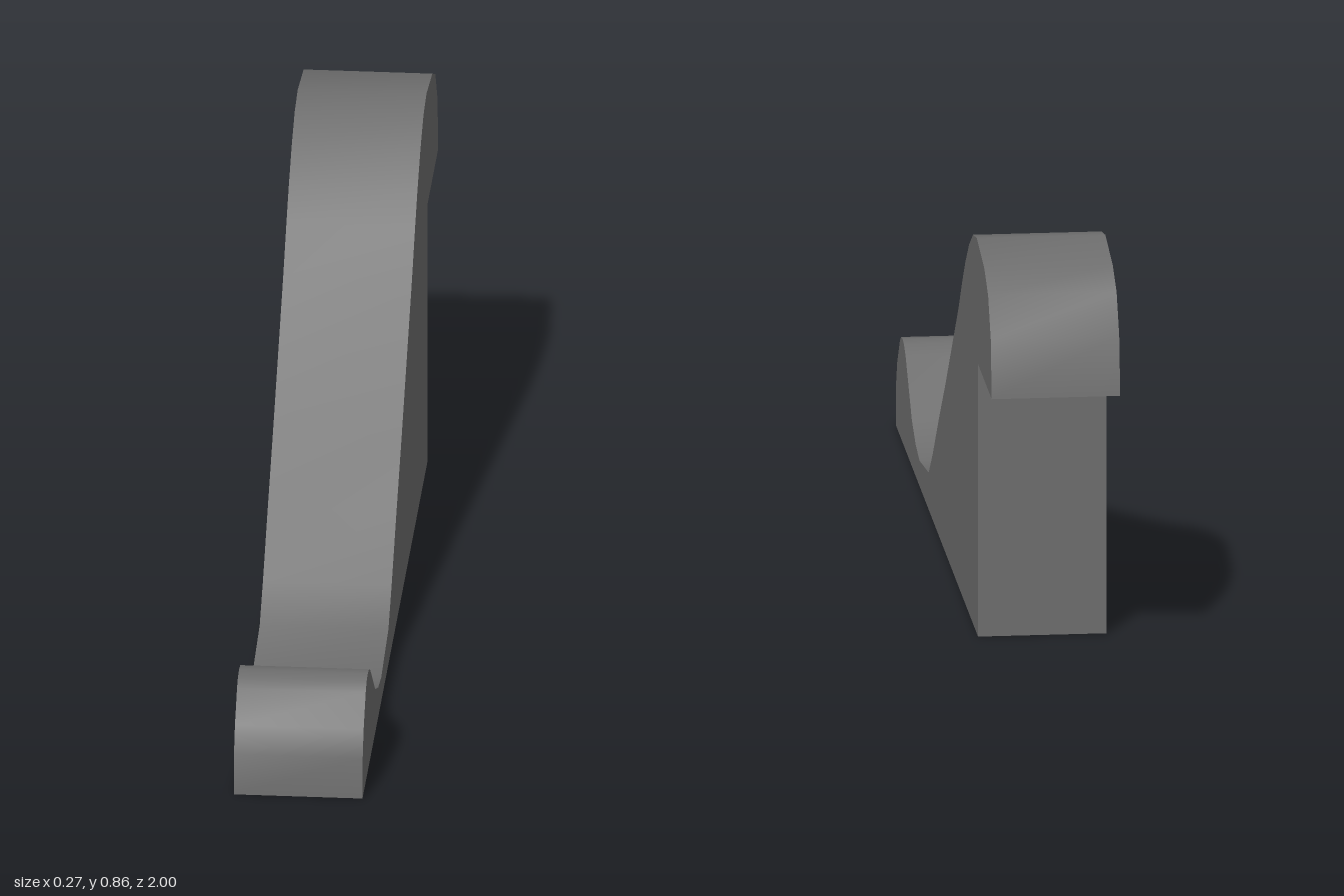
import * as THREE from 'three';
import { toCreasedNormals } from 'three/addons/utils/BufferGeometryUtils.js';

const WIDTH = 0.27;

// Side outline as [z, y], from the front foot over the crest to the back foot
const OUTLINE = [
  [1, 0], [0.995, 0.09], [0.97, 0.145], [0.915, 0.205], [0.89, 0.22], [0.86, 0.224],
  [0.83, 0.22], [0.795, 0.203], [0.665, 0.1], [0.585, 0.068], [0.505, 0.055],
  [0.315, 0.08], [0.23, 0.143], [0.1, 0.255], [-0.035, 0.365], [-0.305, 0.6],
  [-0.39, 0.685], [-0.45, 0.74], [-0.53, 0.8], [-0.61, 0.842], [-0.69, 0.856],
  [-0.845, 0.832], [-0.925, 0.795], [-0.98, 0.715], [-1, 0.59],
  [-0.715, 0.59], [-0.715, 0],
];

export function createModel() {
  const group = new THREE.Group();
  group.name = 'scrollBracket';

  // Constant-width body swept from the side outline
  const shape = new THREE.Shape(OUTLINE.map(([z, y]) => new THREE.Vector2(z, y)));
  const geometry = new THREE.ExtrudeGeometry(shape, { depth: WIDTH, bevelEnabled: false });
  geometry.translate(0, 0, -WIDTH / 2);
  geometry.rotateY(-Math.PI / 2); // outline axis to z, sweep axis to x

  const body = new THREE.Mesh(
    toCreasedNormals(geometry, 0.6),
    new THREE.MeshStandardMaterial({ color: 0x6e6e6e })
  );
  body.name = 'curvedBody';
  group.add(body);
  return group;
}
